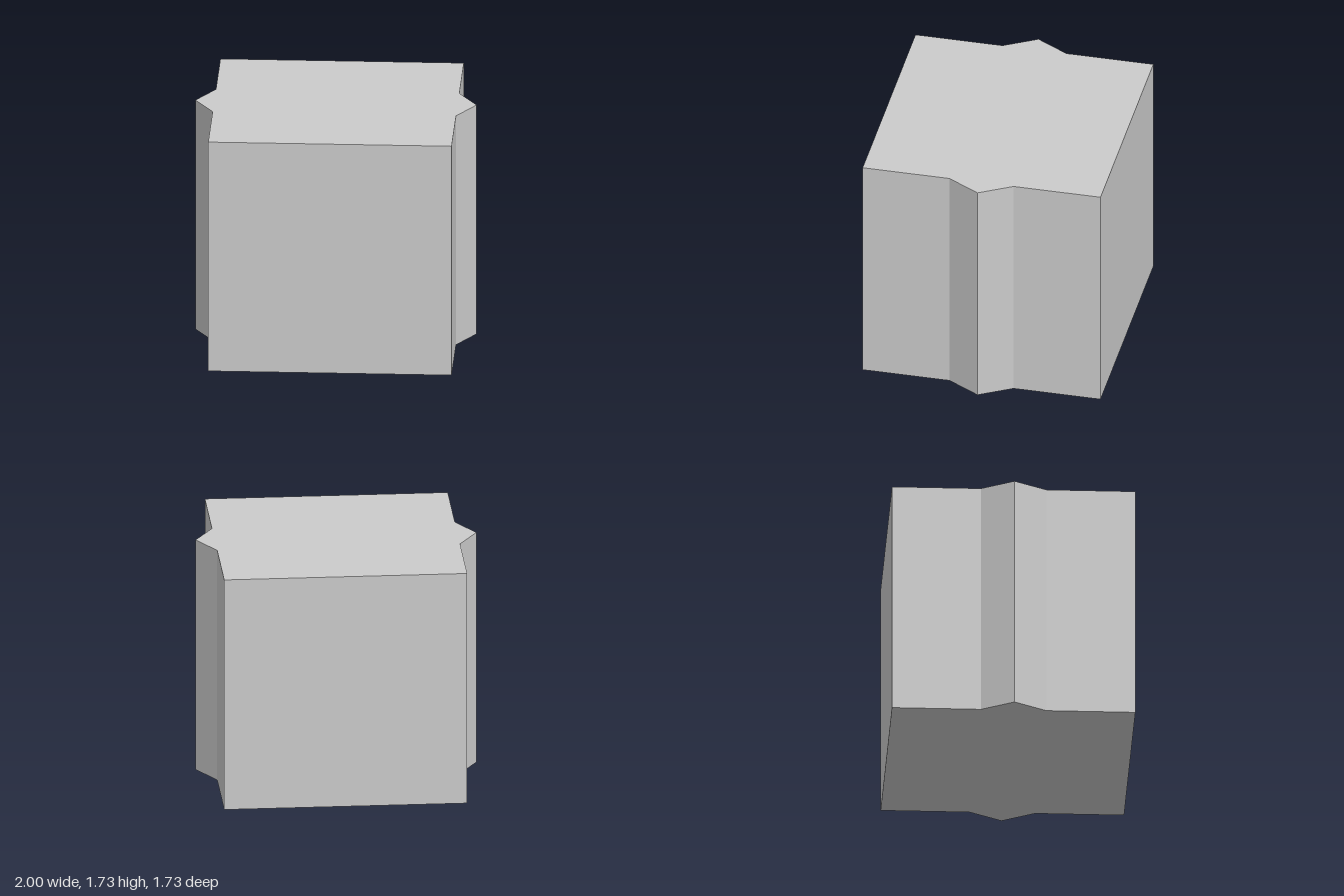
import * as THREE from 'three';

const HALF = 0.865;   // half width of the cube
const TIP = 1;        // reach of the side ridges
const RIDGE = 0.233;  // half width of a ridge at its base

export function createModel() {
  const group = new THREE.Group();
  group.name = 'ridgedBlock';

  // Square plan with a pointed ridge in the middle of the left and right sides
  const side = [[HALF, -HALF], [HALF, -RIDGE], [TIP, 0], [HALF, RIDGE], [HALF, HALF]];
  const outline = [...side, ...side.map(([x, y]) => [-x, -y])];
  const plan = new THREE.Shape(outline.map(([x, y]) => new THREE.Vector2(x, y)));

  // Raise the plan to the full height, standing on the ground
  const geometry = new THREE.ExtrudeGeometry(plan, { depth: 2 * HALF, bevelEnabled: false });
  geometry.rotateX(-Math.PI / 2);

  const material = new THREE.MeshStandardMaterial({ color: 0xcccccc, flatShading: true });
  const block = new THREE.Mesh(geometry, material);
  block.name = 'block';
  group.add(block);
  return group;
}
